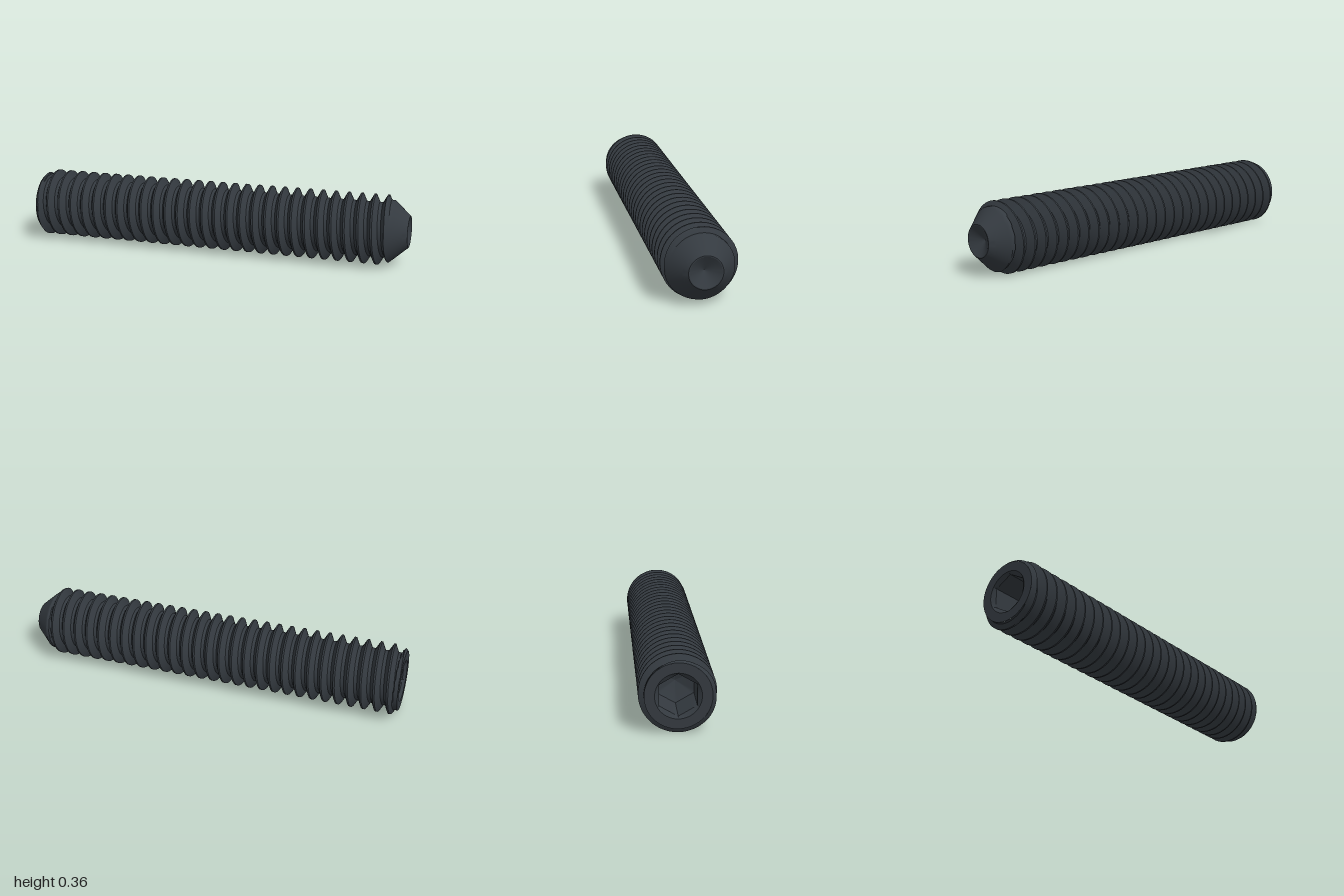
import * as THREE from 'three';
import { toCreasedNormals } from 'three/addons/utils/BufferGeometryUtils.js';

const PITCH = 0.0673, MAJOR = 0.178, DEPTH = 0.039, END_R = 0.153, TIP_R = 0.08;
const U0 = -0.99, U1 = 1.005;      // socket end and tip end along the axis
const CREST = -0.926;              // axial place of a crest at the top
const TURN = Math.PI * 2;

// Skin a grid of points given by at(row, angle) -> [axial position, radius]
function skin(rows, cols, at, crease) {
  const point = (i, j) => {
    const a = (j / cols) * TURN, [u, r] = at(i, a);
    const k = j === cols ? 0 : a;
    return new THREE.Vector3(u, r * Math.cos(k), r * Math.sin(k));
  };
  const grid = [];
  for (let i = 0; i < rows; i++) {
    grid.push([]);
    for (let j = 0; j <= cols; j++) grid[i].push(point(i, j));
  }
  const pos = [];
  const tri = (a, b, c) => {
    const area = b.clone().sub(a).cross(c.clone().sub(a)).length();
    if (area > 1e-9) for (const p of [a, b, c]) pos.push(p.x, p.y, p.z);
  };
  for (let i = 0; i < rows - 1; i++) {
    for (let j = 0; j < cols; j++) {
      const a = grid[i][j], b = grid[i][j + 1], c = grid[i + 1][j], d = grid[i + 1][j + 1];
      tri(a, b, c);
      tri(b, d, c);
    }
  }
  const g = new THREE.BufferGeometry();
  g.setAttribute('position', new THREE.Float32BufferAttribute(pos, 3));
  return toCreasedNormals(g, crease);
}

// Radius of the right-handed thread, trimmed by the chamfer and the cone tip
function threadRadius(u, a) {
  const turns = (u - CREST) / PITCH - a / TURN;
  const t = turns - Math.floor(turns);
  const flank = THREE.MathUtils.clamp((Math.min(t, 1 - t) - 0.0625) / 0.3125, 0, 1);
  let r = MAJOR - DEPTH * flank;
  if (u < -0.967 || u > 0.905) r = Math.max(r, END_R);
  return Math.min(r, END_R + (u - U0), TIP_R + (U1 - u) * 0.89);
}

export function createModel() {
  const steel = new THREE.MeshStandardMaterial({ color: 0x343a40 });
  steel.name = 'blackSteel';
  const screw = new THREE.Group();
  screw.name = 'setScrew';
  const add = (name, geometry) => {
    const mesh = new THREE.Mesh(geometry, steel);
    mesh.name = name;
    screw.add(mesh);
  };

  // Threaded shank: rows follow the helix and are clamped at both ends
  const steps = 16, first = -3 * steps, last = 30 * steps;
  add('threadedShank', skin(last - first + 1, 64, (i, a) => {
    const raw = CREST + PITCH * ((first + i) / steps + a / TURN);
    const u = THREE.MathUtils.clamp(raw, U0, U1);
    return [u, threadRadius(u, a)];
  }, 0.6));

  // Hex socket: conical floor, six walls, countersink and flat end ring
  const hex = (a) => 0.085 / Math.cos((a % (Math.PI / 3)) - Math.PI / 6);
  const socket = [
    [U0 + 0.24, () => 0],
    [U0 + 0.2, hex],
    [U0 + 0.015, hex],
    [U0, () => 0.106],
    [U0, () => END_R],
  ];
  add('hexSocket', skin(socket.length, 48, (i, a) => [socket[i][0], socket[i][1](a + 1e-9)], 0.5));

  // Cup point: narrow rim and a shallow conical hollow
  const cup = [[U1, TIP_R], [U1, 0.075], [U1 - 0.043, 0]];
  add('cupPoint', skin(cup.length, 64, (i) => cup[i], 0.5));

  // Lie the screw on the ground, turned slightly
  screw.rotation.y = -0.2075;
  screw.position.y = MAJOR;
  const model = new THREE.Group();
  model.name = 'model';
  model.add(screw);
  return model;
}
